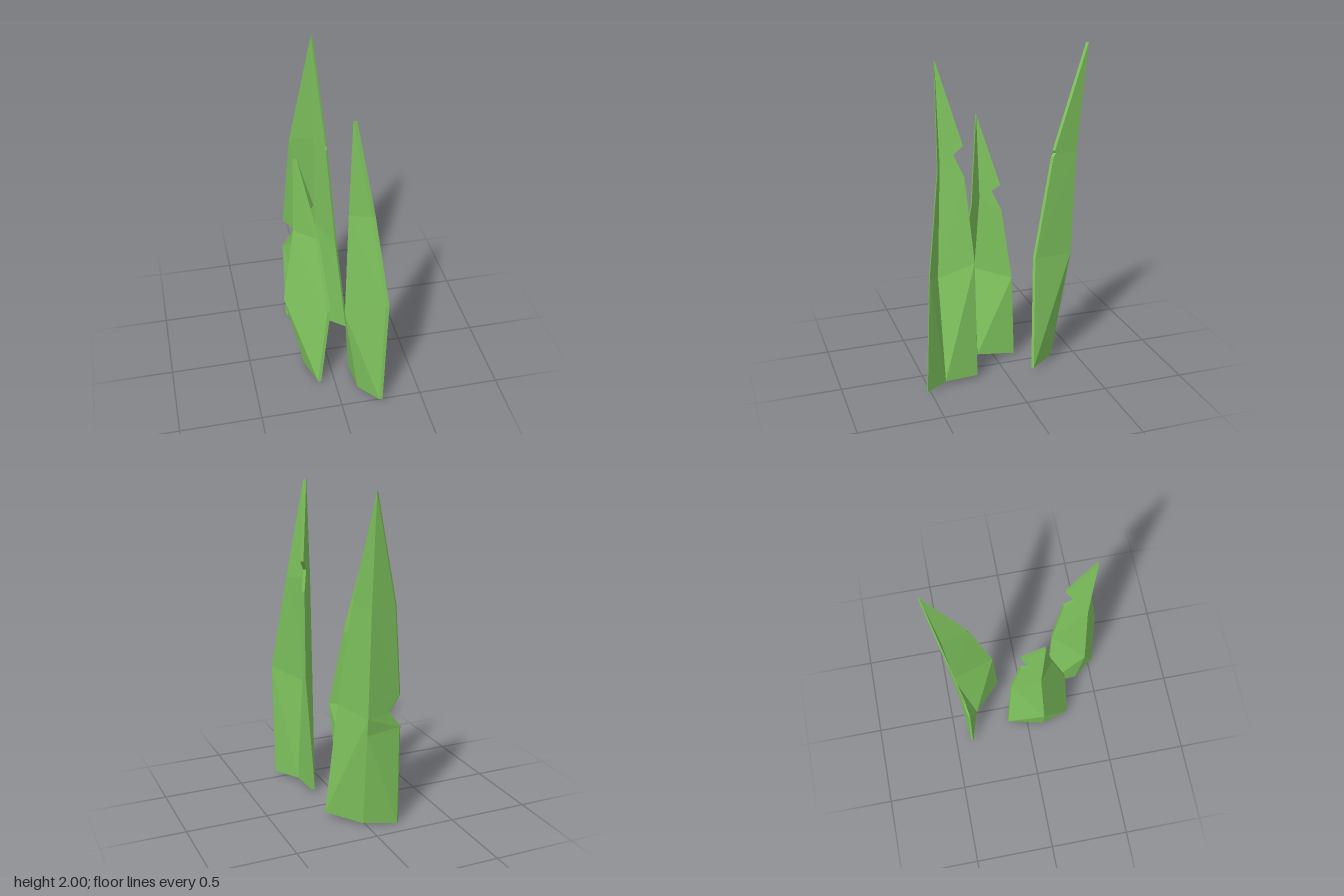
import * as THREE from 'three';

const material = new THREE.MeshStandardMaterial({ color: 0x7fc45e, flatShading: true });

// Point on a line of four knots at a station: 0 base, 1 widest, 2 shoulder, 3 tip
function along(knots, station) {
  const i = Math.min(Math.floor(station), 2);
  return knots[i].clone().lerp(knots[i + 1], station - i);
}

// Half a blade between its fold and its edge, thickened by an offset.
// Each notch entry is [station, pull], pull being the share moved toward the fold.
function half(name, fold, edge, offset, notch, flip) {
  const pulls = new Map([[0, 0], [1, 0], [2, 0], [3, 0], ...notch]);
  const rows = [...pulls].sort((a, b) => a[0] - b[0]).map(([station, pull]) => {
    const f = along(fold, station);
    const e = along(edge, station).lerp(f, pull);
    return { e, f, ei: e.clone().add(offset), fi: f.clone().add(offset) };
  });
  const points = [];
  const quad = (a, b, c, d) => points.push(...(flip ? [a, c, b, a, d, c] : [a, b, c, a, c, d]));
  for (let i = 0; i < rows.length - 1; i++) {
    const a = rows[i], b = rows[i + 1];
    quad(a.e, a.f, b.f, b.e); // outer face
    quad(a.fi, a.ei, b.ei, b.fi); // inner face
    quad(a.e, b.e, b.ei, a.ei); // edge
  }
  quad(rows[0].f, rows[0].e, rows[0].ei, rows[0].fi); // cut base
  const geometry = new THREE.BufferGeometry().setFromPoints(points);
  geometry.computeVertexNormals();
  const mesh = new THREE.Mesh(geometry, material);
  mesh.name = name;
  return mesh;
}

// Blade folded along its length; fold, rear and front hold base, widest and shoulder points
function makeBlade(name, { tip, offset, fold, rear, front, rearNotch = [], frontNotch = [] }) {
  const knots = (line) => [...line, tip].map((p) => new THREE.Vector3(...p));
  const shift = new THREE.Vector3(...offset);
  const blade = new THREE.Group();
  blade.name = name;
  blade.add(
    half('rearHalf', knots(fold), knots(rear), shift, rearNotch, false),
    half('frontHalf', knots(fold), knots(front), shift, frontNotch, true),
  );
  return blade;
}

export function createModel() {
  const model = new THREE.Group();
  model.name = 'grassBlades';
  const shoulderNotch = [[2.17, 0.3], [2.31, -0.43]];

  model.add(makeBlade('frontBlade', {
    tip: [0.06, 1.96, 0.4],
    offset: [0.02, 0, 0],
    fold: [[0.125, 0.02, 0.39], [0.033, 0.66, 0.4], [0.05, 1.36, 0.38]],
    rear: [[0.11, 0.02, 0.185], [0.155, 0.78, 0.21], [0.135, 1.3, 0.26]],
    front: [[0.23, 0.03, 0.53], [0.25, 0.77, 0.505], [0.17, 1.36, 0.425]],
    rearNotch: shoulderNotch,
  }));

  model.add(makeBlade('middleBlade', {
    tip: [-0.2, 1.57, 0.083],
    offset: [0.02, 0, 0],
    fold: [[-0.16, 0.01, 0.1], [-0.275, 0.56, 0.08], [-0.205, 1.06, 0.065]],
    rear: [[-0.105, 0.01, -0.127], [-0.048, 0.565, -0.09], [-0.085, 1, -0.035]],
    front: [[-0.105, 0.01, 0.285], [-0.042, 0.56, 0.26], [-0.09, 1.05, 0.15]],
    rearNotch: shoulderNotch,
  }));

  // The back blade opens the other way, with a notch halfway up and a nick at the shoulder
  model.add(makeBlade('backBlade', {
    tip: [0.038, 2, -0.53],
    offset: [-0.012, 0, 0.012],
    fold: [[0.015, 0.01, -0.34], [0.04, 0.71, -0.45], [0.035, 1.36, -0.475]],
    rear: [[0.185, 0.035, -0.162], [0.115, 0.73, -0.19], [0.08, 1.35, -0.31]],
    front: [[-0.18, 0, -0.4], [-0.19, 0.72, -0.39], [-0.12, 1.36, -0.45]],
    rearNotch: [[2.025, 0.08], [2.05, -0.02]],
    frontNotch: [[0.85, 0], [1, 0.35], [1.14, 0]],
  }));
  return model;
}
